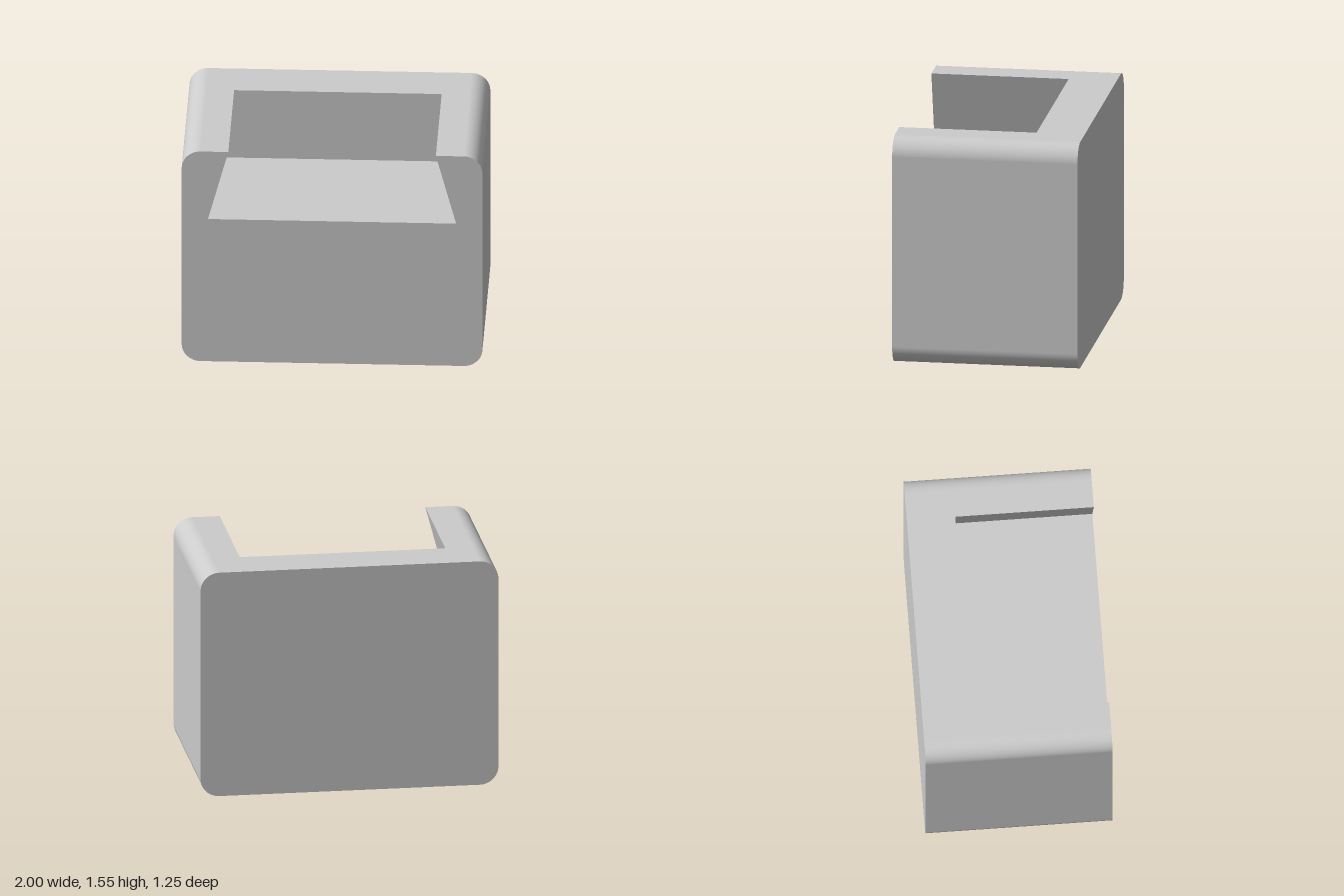
import * as THREE from 'three';

const W = 1, H = 1.555, D = 0.623, R = 0.125; // half width, height, half depth, corner radius
const FLOOR = 1.055, BACK = -0.3, TOP_X = 0.69, FLOOR_X = 0.825; // dovetail recess

// Rounded outline, counterclockwise from the top left, with a normal at each point
function bodyOutline(steps = 16) {
  const points = [];
  [[-1, 1], [-1, 0], [1, 0], [1, 1]].forEach(([sx, sy], i) => {
    for (let k = 0; k <= steps; k++) {
      const a = (Math.PI / 2) * (i + 1 + k / steps);
      const nx = Math.cos(a), ny = Math.sin(a);
      points.push({ x: sx * (W - R) + nx * R, y: (sy ? H - R : R) + ny * R, nx, ny });
    }
  });
  return points;
}

// Wall swept along z between two depths, facing the right-hand side of the path
function wall(path, back, front) {
  const position = [], normal = [], index = [];
  path.forEach((p, i) => {
    for (const z of [front, back]) {
      position.push(p.x, p.y, z);
      normal.push(p.nx, p.ny, 0);
    }
    const a = i * 2;
    if (i < path.length - 1) index.push(a, a + 1, a + 2, a + 2, a + 1, a + 3);
  });
  const geometry = new THREE.BufferGeometry();
  geometry.setAttribute('position', new THREE.Float32BufferAttribute(position, 3));
  geometry.setAttribute('normal', new THREE.Float32BufferAttribute(normal, 3));
  geometry.setIndex(index);
  return geometry;
}

// Flat wall between two points
function flatWall([x0, y0], [x1, y1], back, front) {
  const l = Math.hypot(x1 - x0, y1 - y0), nx = (y1 - y0) / l, ny = (x0 - x1) / l;
  return wall([{ x: x0, y: y0, nx, ny }, { x: x1, y: y1, nx, ny }], back, front);
}

const face = (points) =>
  new THREE.ShapeGeometry(new THREE.Shape(points.map(([x, y]) => new THREE.Vector2(x, y))));

export function createModel() {
  const group = new THREE.Group();
  group.name = 'dovetailBlock';
  const grey = new THREE.MeshStandardMaterial({ color: 0xcccccc });
  grey.name = 'light grey';
  const add = (name, geometry) => {
    const mesh = new THREE.Mesh(geometry, grey);
    mesh.name = name;
    group.add(mesh);
  };

  const path = bodyOutline();
  const outline = path.map((p) => [p.x, p.y]);
  const notch = [[TOP_X, H], [FLOOR_X, FLOOR], [-FLOOR_X, FLOOR], [-TOP_X, H]];

  // Outer block: rounded sides and underside, front, back and U-shaped top
  add('outerSides', wall(path, -D, D));
  add('frontFace', face([...outline, ...notch]).translate(0, 0, D));
  add('backFace', face(outline).rotateY(Math.PI).translate(0, 0, -D));
  const edge = W - R;
  add('topRim', face([
    [-edge, -D], [-TOP_X, -D], [-TOP_X, -BACK], [TOP_X, -BACK],
    [TOP_X, -D], [edge, -D], [edge, D], [-edge, D],
  ]).rotateX(-Math.PI / 2).translate(0, H, 0));

  // Recess: undercut flanks, floor and back wall
  ['leftFlank', 'recessFloor', 'rightFlank'].forEach((name, i) =>
    add(name, flatWall(notch[i], notch[i + 1], BACK, D)));
  add('recessBack', face(notch).translate(0, 0, BACK));

  return group;
}
